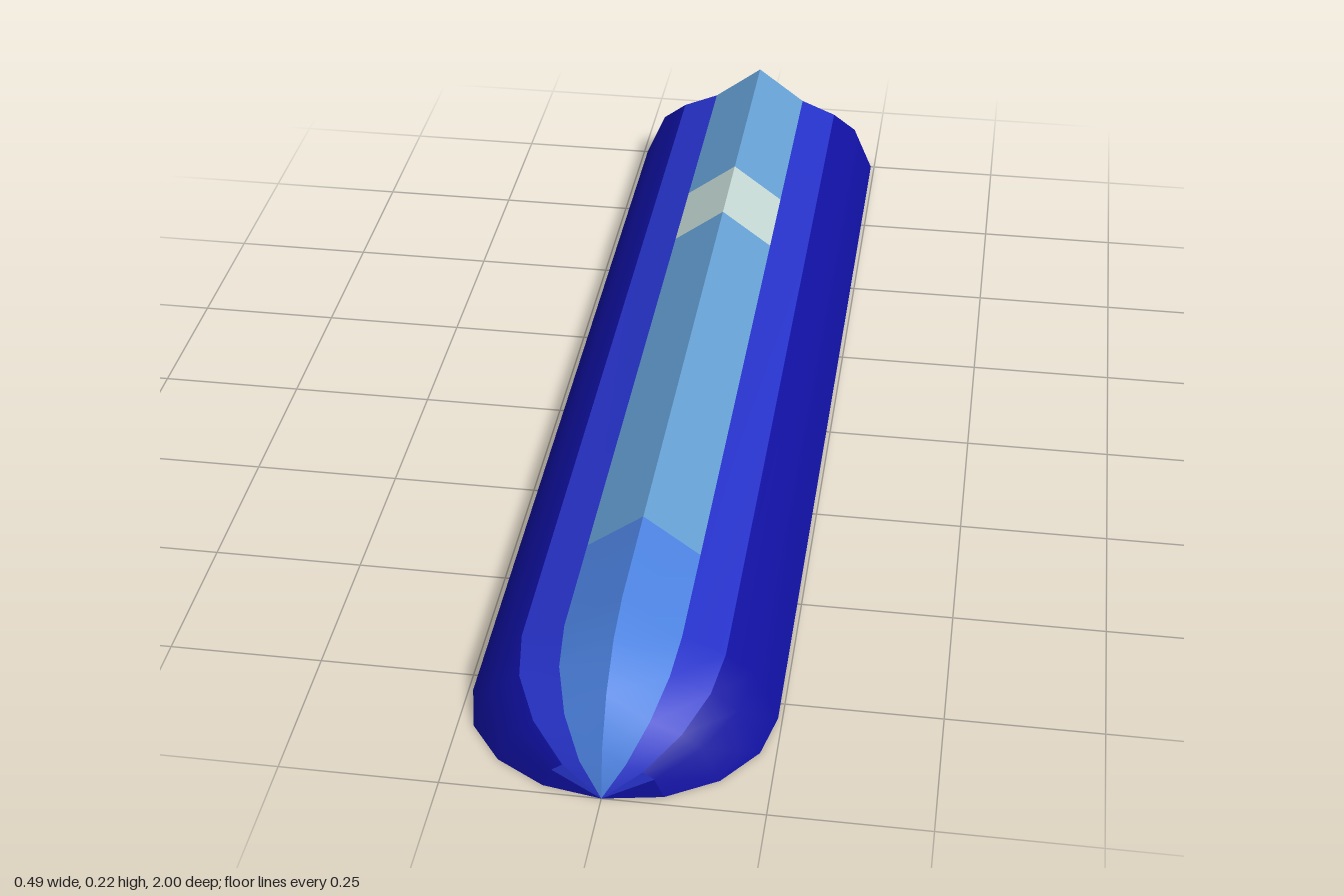
import * as THREE from 'three';
import { toCreasedNormals } from 'three/addons/utils/BufferGeometryUtils.js';

const material = (name, color) => {
  const m = new THREE.MeshStandardMaterial({ color, side: THREE.DoubleSide });
  m.name = name;
  return m;
};

export function createModel() {
  const group = new THREE.Group();
  const navy = material('navy', 0x1010a0);
  const blue = material('royal blue', 0x2632c8);
  const light = material('light blue', 0x4c82e0);
  const steel = material('steel blue', 0x649fd2);
  const pale = material('pale grey', 0xc2d6d2);

  // Half cross-section, from the bottom edge up to the ridge
  const section = [[0.243, 0], [0.205, 0.087], [0.16, 0.12], [0.092, 0.148], [0, 0.216]];

  // Stations [z, scale] of the rounded nose
  const nose = [0, 1, 2, 3, 4].map((i) => {
    const a = (i * Math.PI) / 8;
    return [0.785 + 0.215 * Math.sin(a), i === 4 ? 0 : Math.cos(a)];
  });
  const tip = nose.slice(3);

  // Lofts part of the section along the stations; side is 1 or -1
  function strip(name, mat, points, stations, side) {
    const pos = [];
    const at = ([x, y], [z, s]) => [side * x * s, y * s, z];
    for (let j = 0; j < stations.length - 1; j++) {
      for (let i = 0; i < points.length - 1; i++) {
        const a = at(points[i], stations[j]), b = at(points[i], stations[j + 1]);
        const c = at(points[i + 1], stations[j + 1]), d = at(points[i + 1], stations[j]);
        const tris = stations[j + 1][1] === 0 ? [[a, d, b]] : [[a, d, c], [a, c, b]];
        for (const [p, q, r] of tris) pos.push(...p, ...(side > 0 ? [...r, ...q] : [...q, ...r]));
      }
    }
    const g = new THREE.BufferGeometry();
    g.setAttribute('position', new THREE.Float32BufferAttribute(pos, 3));
    const mesh = new THREE.Mesh(toCreasedNormals(g, 0.75), mat);
    mesh.name = name;
    group.add(mesh);
  }

  // Flat outline placed on a plane
  function plate(name, mat, points) {
    const mesh = new THREE.Mesh(
      new THREE.ShapeGeometry(new THREE.Shape(points.map((p) => new THREE.Vector2(...p)))), mat);
    mesh.name = name;
    group.add(mesh);
    return mesh;
  }

  const back = [-1, 1];
  const roof = section.slice(3);
  for (const side of [1, -1]) {
    // Lower hull, with its upper band changing colour at the tip
    strip('lowerSide', navy, section.slice(0, 3), [back, ...nose.slice(0, 4)], side);
    strip('lowerNoseTip', navy, section.slice(0, 2), tip, side);
    strip('noseTipMark', blue, section.slice(1, 3), tip, side);
    strip('shoulder', blue, section.slice(2, 4), [back, ...nose], side);
    // Roof panels from back to front
    strip('rearRoof', steel, roof, [back, [-0.575, 1]], side);
    strip('paleRoofPanel', pale, roof, [[-0.575, 1], [-0.395, 1]], side);
    strip('mainRoof', steel, roof, [[-0.395, 1], [0.58, 1]], side);
    strip('noseRoof', light, roof, [[0.58, 1], ...nose], side);
  }

  // Floor: rounded outline
  const half = [back, ...nose].map(([z, s]) => [0.243 * s, -z]);
  const floor = plate('floor', navy, [...half, ...half.slice(0, -1).reverse().map(([x, z]) => [-x, z])]);
  floor.rotation.x = -Math.PI / 2;
  floor.geometry.scale(1, 1, -1);
  const index = floor.geometry.index.array;
  for (let i = 0; i < index.length; i += 3) [index[i], index[i + 1]] = [index[i + 1], index[i]];
  floor.geometry.computeVertexNormals();

  // Rear end: gable and the notched panel under it, facing backwards
  const mirror = (pts) => pts.map(([x, y]) => [-x, y]).reverse();
  const gable = section.slice(2);
  const lower = section.slice(0, 3);
  for (const [name, mat, pts] of [
    ['rearGable', steel, [...gable, ...mirror(gable).slice(1)]],
    ['rearPanel', blue, [...lower, ...mirror(lower), [0, 0.072]]],
  ]) {
    const end = plate(name, mat, pts);
    end.rotation.y = Math.PI;
    end.position.z = -1;
  }
  return group;
}
